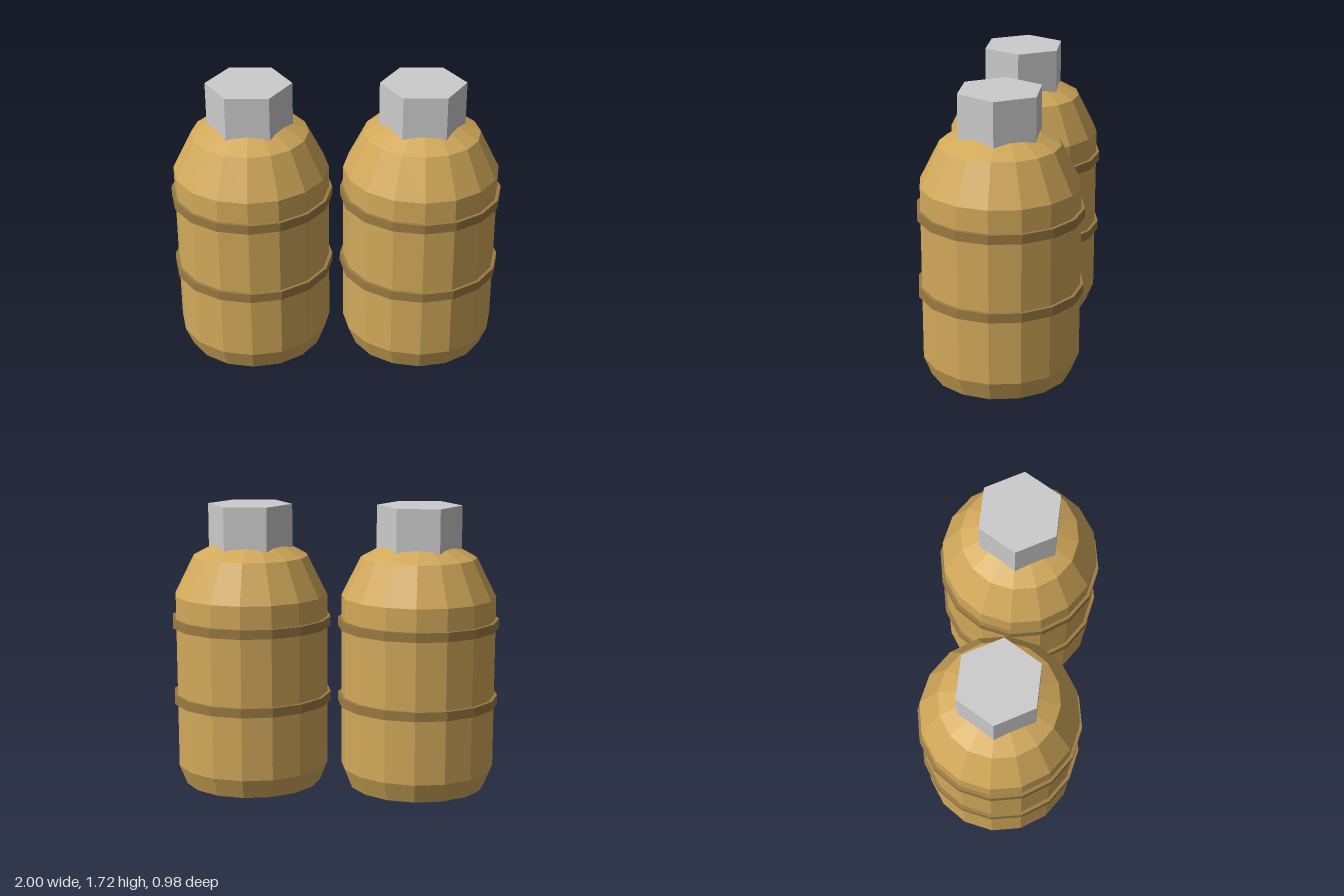
import * as THREE from 'three';

const SIDES = 16;
const bodyMat = new THREE.MeshStandardMaterial({ color: 0xd2a95a, flatShading: true });
const bandMat = new THREE.MeshStandardMaterial({ color: 0x9a7a42, flatShading: true });
const capMat = new THREE.MeshStandardMaterial({ color: 0xcccccc, flatShading: true });

// Faceted solid turned from [radius, height] pairs, listed bottom to top
function turned(name, profile, material) {
  const points = profile.map(([r, y]) => new THREE.Vector2(r, y));
  const mesh = new THREE.Mesh(new THREE.LatheGeometry(points, SIDES), material);
  mesh.name = name;
  return mesh;
}

function createCanister(name) {
  const canister = new THREE.Group();
  canister.name = name;

  // Barrel with chamfered foot and two-step shoulder
  canister.add(turned('body', [
    [0, 0], [0.42, 0], [0.468, 0.12], [0.468, 1.175], [0.35, 1.41], [0.2, 1.49], [0, 1.49],
  ], bodyMat));

  // Raised hoops around the barrel
  for (const [label, y] of [['lowerBand', 0.512], ['upperBand', 0.983]]) {
    const top = y + 0.056;
    canister.add(turned(label, [[0.46, y], [0.488, y], [0.488, top], [0.46, top]], bandMat));
  }

  // Hexagonal cap sunk into the shoulder, corners pointing along x
  const cap = new THREE.Mesh(
    new THREE.CylinderGeometry(0.256, 0.256, 0.3, 6, 1, false, Math.PI / 6), capMat);
  cap.name = 'hexCap';
  cap.position.y = 1.573;
  canister.add(cap);
  return canister;
}

export function createModel() {
  const model = new THREE.Group();
  model.name = 'canisterPair';
  for (const side of [-1, 1]) {
    const canister = createCanister(side > 0 ? 'leftCanister' : 'rightCanister');
    canister.position.x = side * 0.511;
    model.add(canister);
  }
  return model;
}
